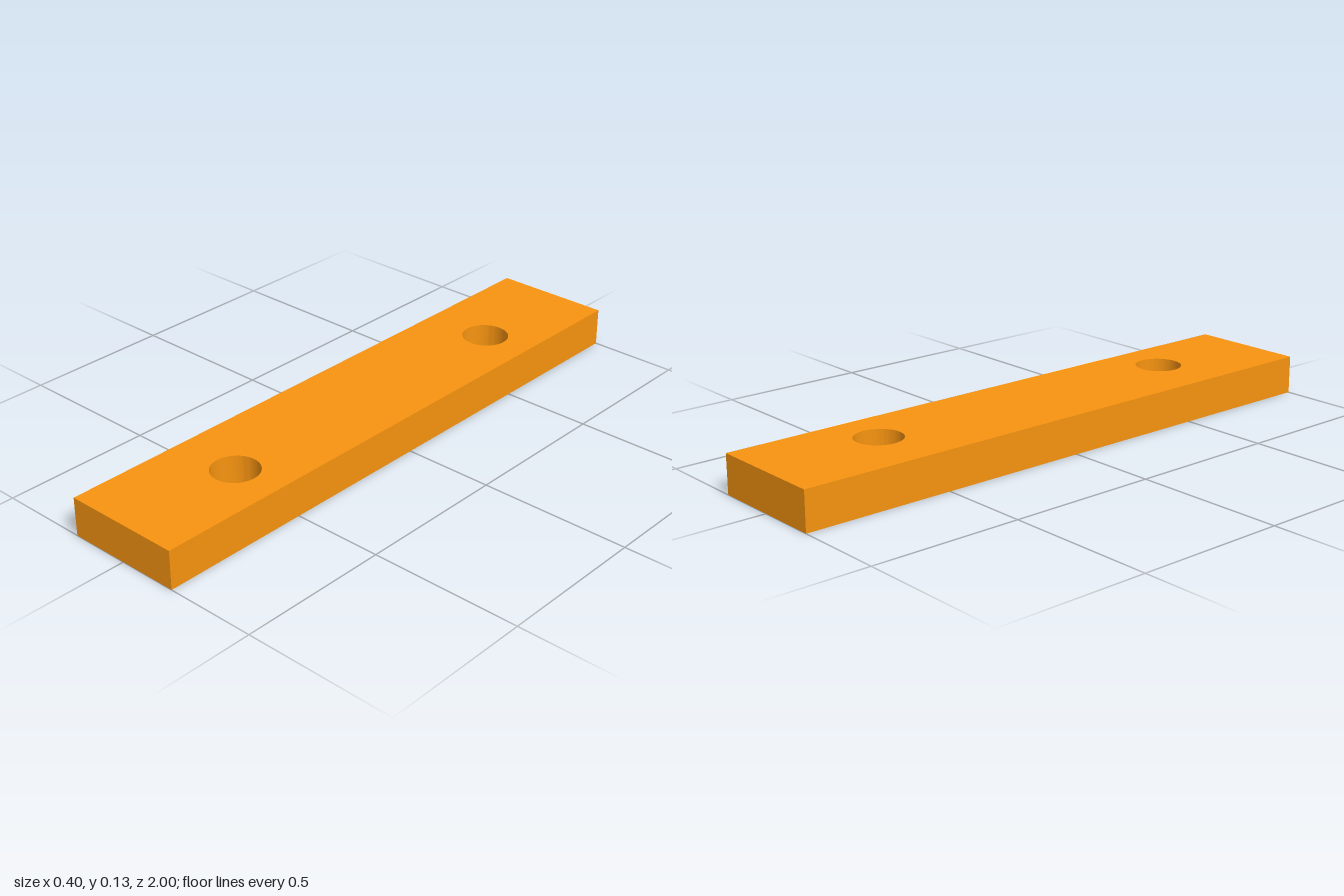
import * as THREE from 'three';
import { toCreasedNormals } from 'three/addons/utils/BufferGeometryUtils.js';

const WIDTH = 0.4, LENGTH = 2, HEIGHT = 0.128;
const HOLE_X = 0.028, HOLE_Z = 0.585, HOLE_RADIUS = 0.077;

export function createModel() {
  const group = new THREE.Group();
  group.name = 'mountingBar';

  // Rectangular outline, drawn flat and then laid down
  const outline = new THREE.Shape();
  outline.moveTo(-WIDTH / 2, -LENGTH / 2);
  outline.lineTo(WIDTH / 2, -LENGTH / 2);
  outline.lineTo(WIDTH / 2, LENGTH / 2);
  outline.lineTo(-WIDTH / 2, LENGTH / 2);
  outline.closePath();

  // Two through holes, slightly off the centre line
  for (const side of [-1, 1]) {
    const hole = new THREE.Path();
    hole.absarc(HOLE_X, side * HOLE_Z, HOLE_RADIUS, 0, Math.PI * 2, true);
    outline.holes.push(hole);
  }

  const extruded = new THREE.ExtrudeGeometry(outline, {
    depth: HEIGHT, bevelEnabled: false, curveSegments: 48,
  });
  extruded.rotateX(-Math.PI / 2);

  // Smooth hole walls, sharp edges elsewhere
  const bar = new THREE.Mesh(
    toCreasedNormals(extruded, Math.PI / 6),
    new THREE.MeshStandardMaterial({ color: 0xf79410 })
  );
  bar.name = 'drilledBar';
  group.add(bar);
  return group;
}
